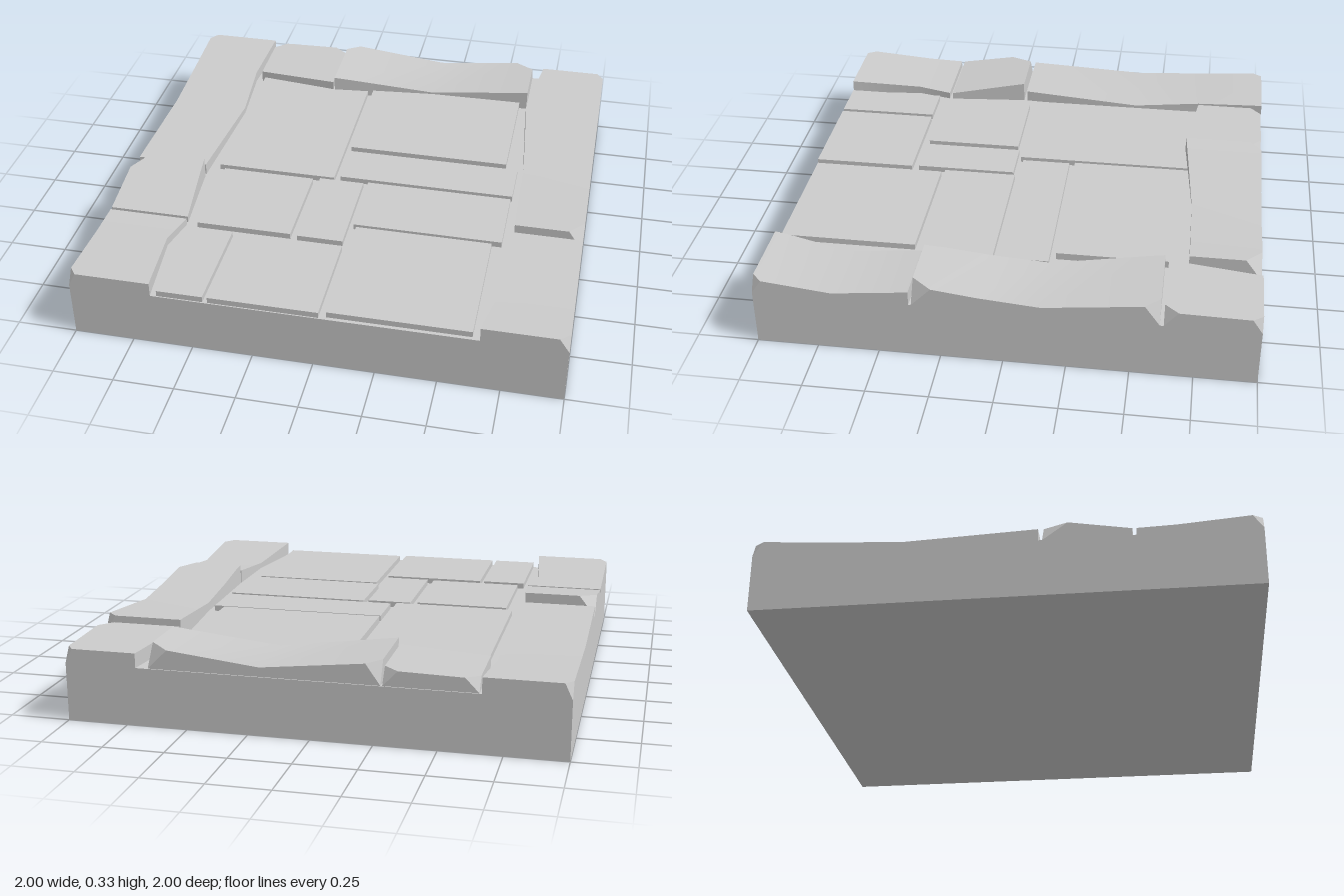
import * as THREE from 'three';
import { toCreasedNormals } from 'three/addons/utils/BufferGeometryUtils.js';

const BED = 0.24; // top of the slab
const material = new THREE.MeshStandardMaterial({ color: 0xcccccc });

function box(name, x0, x1, y0, y1, z0, z1) {
  const mesh = new THREE.Mesh(new THREE.BoxGeometry(x1 - x0, y1 - y0, z1 - z0), material);
  mesh.position.set((x0 + x1) / 2, (y0 + y1) / 2, (z0 + z1) / 2);
  mesh.name = name;
  return mesh;
}

// Border stone swept through stations [along, inner edge, height, outer top edge].
// A shorter outer top edge at an end station leaves a chipped corner.
function borderStone(name, outer, stations, back = false) {
  const rings = stations.map(([s, inner, y, top = outer]) =>
    [[inner, BED], [inner, y], [top, y], [outer, BED]].map(([u, h]) => (back ? [s, h, u] : [u, h, s])));
  const flip = (outer < 0) !== back;
  const pos = [];
  const tri = (a, b, c) => pos.push(...a, ...(flip ? [...c, ...b] : [...b, ...c]));
  const last = rings.length - 1;
  for (let i = 0; i < last; i++) {
    for (let k = 0; k < 4; k++) {
      const n = (k + 1) % 4;
      const a = rings[i][k], b = rings[i + 1][k], c = rings[i + 1][n], d = rings[i][n];
      if (i === 0) { tri(a, b, d); tri(b, c, d); } else { tri(a, b, c); tri(a, c, d); }
    }
  }
  const [p, q] = [rings[0], rings[last]];
  tri(p[0], p[1], p[2]); tri(p[0], p[2], p[3]);
  tri(q[2], q[1], q[0]); tri(q[3], q[2], q[0]);
  const geo = new THREE.BufferGeometry();
  geo.setAttribute('position', new THREE.Float32BufferAttribute(pos, 3));
  const mesh = new THREE.Mesh(toCreasedNormals(geo, 0.4), material);
  mesh.name = name;
  return mesh;
}

export function createModel() {
  const model = new THREE.Group();
  model.name = 'stoneFloorTile';
  model.add(box('slab', -1, 1, 0, BED, -1, 1));

  // Flat paving stones: x0, x1, z0, z1, top
  const pavers = [
    [-0.64, -0.115, -0.72, 0.085, 0.265],
    [-0.09, 0.62, -0.72, -0.165, 0.27],
    [-0.09, 0.675, -0.14, 0.07, 0.265],
    [0.04, 0.67, 0.09, 0.405, 0.265],
    [-0.61, -0.205, 0.11, 0.525, 0.265],
    [-0.175, 0.02, 0.10, 0.53, 0.265],
    [0.055, 0.63, 0.42, 0.985, 0.265],
    [-0.635, -0.445, 0.56, 0.995, 0.265],
    [-0.425, 0.025, 0.56, 0.995, 0.265],
  ];
  pavers.forEach(([x0, x1, z0, z1, top], i) =>
    model.add(box(`paver${i + 1}`, x0, x1, BED - 0.02, top, z0, z1)));

  // Raised border on the +x side
  model.add(borderStone('leftBorderBack', 1, [
    [-1, 0.705, 0.3, 0.97], [-0.96, 0.7, 0.3], [-0.68, 0.665, 0.305], [-0.625, 0.66, 0.305, 0.95]]));
  model.add(borderStone('leftBorderMiddle', 1, [
    [-0.61, 0.66, 0.33, 0.95], [-0.55, 0.665, 0.324], [-0.15, 0.7, 0.278],
    [0.1, 0.708, 0.3], [0.28, 0.713, 0.323], [0.36, 0.715, 0.33, 0.94]]));
  model.add(borderStone('leftBorderFront', 1, [
    [0.37, 0.715, 0.3], [0.68, 0.71, 0.265], [0.96, 0.665, 0.297], [1, 0.66, 0.3, 0.96]]));

  // Raised border on the -x side
  model.add(borderStone('rightBorderBack', -1, [
    [-1, -0.665, 0.305, -0.97], [-0.96, -0.668, 0.303], [-0.7, -0.685, 0.285],
    [-0.4, -0.66, 0.267], [0.135, -0.69, 0.29]]));
  model.add(borderStone('rightBorderMiddle', -1, [
    [0.15, -0.69, 0.33, -0.93], [0.25, -0.682, 0.313], [0.5, -0.66, 0.27]]));
  model.add(borderStone('rightBorderFront', -1, [
    [0.515, -0.66, 0.27], [0.67, -0.695, 0.275], [0.96, -0.665, 0.297], [1, -0.66, 0.3, -0.97]]));

  // Raised border along the back
  model.add(borderStone('backBorderRight', -0.995, [
    [-0.655, -0.7, 0.295, -0.95], [-0.6, -0.693, 0.297],
    [-0.345, -0.663, 0.303], [-0.285, -0.655, 0.305, -0.945]], true));
  model.add(borderStone('backBorderLeft', -0.995, [
    [-0.278, -0.655, 0.33, -0.945], [-0.22, -0.661, 0.324], [0.2, -0.7, 0.278],
    [0.575, -0.705, 0.32], [0.655, -0.705, 0.33, -0.93]], true));
  return model;
}
